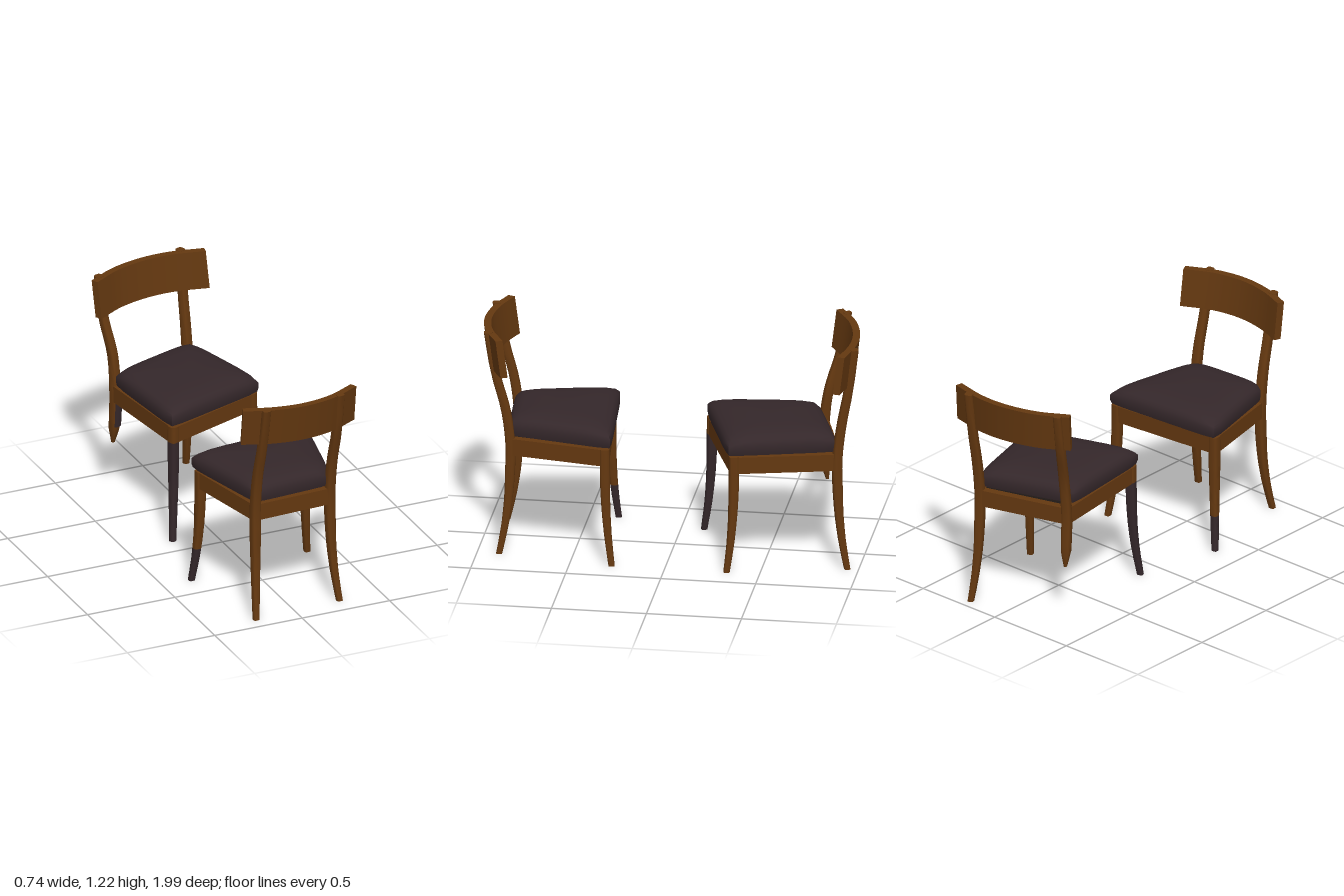
import * as THREE from 'three';
import { toCreasedNormals } from 'three/addons/utils/BufferGeometryUtils.js';

const wood = new THREE.MeshStandardMaterial({ color: 0x643810 });
wood.name = 'wood';
const leather = new THREE.MeshStandardMaterial({ color: 0x34272a });
leather.name = 'dark leather';
const lining = new THREE.MeshStandardMaterial({ color: 0x1f1815 });
lining.name = 'seat lining';

// Closed skin over a stack of rings of [x, y, z] points, with fan caps
function loft(rings, crease = 0.7) {
  const n = rings[0].length, pos = rings.flat(2), idx = [];
  for (let r = 0; r < rings.length - 1; r++) {
    for (let i = 0; i < n; i++) {
      const a = r * n + i, b = r * n + (i + 1) % n;
      idx.push(a, b, b + n, a, b + n, a + n);
    }
  }
  [0, rings.length - 1].forEach((r, k) => {
    const c = pos.length / 3;
    for (let d = 0; d < 3; d++) pos.push(rings[r].reduce((s, p) => s + p[d], 0) / n);
    for (let i = 0; i < n; i++) {
      const a = r * n + i, b = r * n + (i + 1) % n;
      idx.push(c, k ? a : b, k ? b : a);
    }
  });
  // Turn every face outward
  const v = (i) => new THREE.Vector3().fromArray(pos, i * 3), o = v(0);
  let volume = 0;
  for (let i = 0; i < idx.length; i += 3) {
    volume += v(idx[i]).sub(o).dot(v(idx[i + 1]).sub(o).cross(v(idx[i + 2]).sub(o)));
  }
  if (volume < 0) idx.reverse();
  const g = new THREE.BufferGeometry();
  g.setAttribute('position', new THREE.Float32BufferAttribute(pos, 3));
  g.setIndex(idx);
  return toCreasedNormals(g, crease);
}

const mesh = (name, geo, mat) => {
  const m = new THREE.Mesh(geo, mat);
  m.name = name;
  return m;
};

// Straight box between plan points p and q, moved sideways by off
function beam(p, q, y0, y1, width, off = 0) {
  const dx = q[0] - p[0], dz = q[1] - p[1], l = Math.hypot(dx, dz);
  const nx = -dz / l, nz = dx / l, h = width / 2;
  return loft([p, q].map(([x, z]) => [[h, y0], [h, y1], [-h, y1], [-h, y0]]
    .map(([w, y]) => [x + nx * (w + off), y, z + nz * (w + off)])));
}

// Half thickness of a leg or post at height y
const legHalf = (y) => y < 0.6 ? 0.016 + 0.010 * Math.min(1, y / 0.45) : 0.026 - 0.004 * (y - 0.6) / 0.6;

// Rounded square limb along [x, y, z] points, cut to heights y0..y1
function limb(points, angle, y0, y1, { tip = 0, shift = [0, 0], grow = 1 } = {}) {
  const curve = new THREE.CatmullRomCurve3(points.map((p) => new THREE.Vector3(...p)));
  const dense = curve.getPoints(200);
  const rings = [];
  for (let k = 0; k <= 22; k++) {
    const y = y0 + (y1 - y0) * k / 22;
    const c = dense.reduce((a, b) => Math.abs(b.y - y) < Math.abs(a.y - y) ? b : a);
    let h = legHalf(y) * grow;
    if (tip) h *= Math.min(1, 0.35 + (y - y0) / tip);
    const ring = [];
    for (let i = 0; i < 16; i++) {
      const t = (i + 0.5) / 16 * Math.PI * 2;
      const f = (s) => Math.sign(s) * Math.abs(s) ** 0.55 * h;
      const a = f(Math.cos(t)), b = f(Math.sin(t));
      ring.push([c.x + shift[0] + a * Math.cos(angle) - b * Math.sin(angle), y,
        c.z + shift[1] + a * Math.sin(angle) + b * Math.cos(angle)]);
    }
    rings.push(ring);
  }
  return loft(rings, 0.9);
}

// Plump seat pad over four plan corners
function cushion(corners) {
  const layers = [[0.93, 0.645], [0.985, 0.65], [1, 0.67], [1, 0.70], [0.975, 0.722],
    [0.92, 0.737], [0.8, 0.75], [0.6, 0.759], [0.35, 0.764], [0.08, 0.766]];
  return loft(layers.map(([s, y]) => {
    const ring = [];
    for (let k = 0; k < 4; k++) {
      for (let i = 0; i < 8; i++) {
        // Square outline with slightly softened corners
        const t = -1 + i / 4, soft = 1 - 0.03 * t ** 8;
        const [a, b] = [[t, -1], [1, t], [-t, 1], [-1, -t]][k];
        const u = (a * soft * s + 1) / 2, w = (b * soft * s + 1) / 2;
        const at = (d) => (1 - w) * ((1 - u) * corners[0][d] + u * corners[1][d])
          + w * ((1 - u) * corners[3][d] + u * corners[2][d]);
        const droop = y > 0.7 ? 0.012 * (t * s) ** 4 : 0;
        ring.push([at(0), y - droop, at(1)]);
      }
    }
    return ring;
  }), 1.0);
}

// Curved back board, leaning by the plan vector lean
function backBoard(plan, lean) {
  const curve = new THREE.CatmullRomCurve3(plan.map(([x, z]) => new THREE.Vector3(x, 0, z)));
  const rings = [];
  for (let k = 0; k <= 24; k++) {
    const p = curve.getPoint(k / 24), t = curve.getTangent(k / 24), h = 0.019;
    rings.push([[h, 1.015, 0], [h, 1.22, 1], [-h, 1.22, 1], [-h, 1.015, 0]].map(([w, y, f]) => [
      p.x - t.z * w - lean[0] * (1 - f), y, p.z + t.x * w - lean[1] * (1 - f)]));
  }
  return loft(rings, 0.5);
}

// legs and feet: corners in order around the seat, the two front ones first
function chair(name, { legs, feet, pad, posts, board, lean, darkTo, broken }) {
  const g = new THREE.Group();
  g.name = name;
  const angle = Math.atan2(legs[1][1] - legs[0][1], legs[1][0] - legs[0][0]);
  const mid = [0, 1].map((d) => legs.reduce((s, p) => s + p[d], 0) / 4);
  legs.forEach((p, i) => {
    const along = (y, f) => [p[0] + (feet[i][0] - p[0]) * f, y, p[1] + (feet[i][1] - p[1]) * f];
    const path = [along(0, 1), along(0.15, 0.5), along(0.3, 0.18), along(0.45, 0.04), along(0.6, 0)];
    const isBack = i > 1;
    if (isBack) path.push(...posts[i - 2]);
    else path.push(along(0.64, 0));
    const top = isBack ? 1.222 : 0.64, part = isBack ? 'backLegAndPost' : 'frontLeg';
    const dark = darkTo[i];
    const bottom = broken === i ? 0.3 : 0;
    if (dark) g.add(mesh(part + 'DarkPart', limb(path, angle, 0, dark), leather));
    g.add(mesh(part, limb(path, angle, dark || bottom, top, { tip: bottom ? 0.12 : 0 }), wood));
    if (bottom) {
      const shift = [0.006, 0.006];
      g.add(mesh('stainedLegFace', limb(path, angle, 0.4, 0.56, { shift, grow: 0.95 }), leather));
    }
    // Seat rails with dark inner faces
    const q = legs[(i + 1) % 4];
    const side = Math.sign((q[0] - p[0]) * (mid[1] - p[1]) - (q[1] - p[1]) * (mid[0] - p[0]));
    g.add(mesh('seatRail', beam(p, q, 0.547, 0.638, 0.042), wood));
    g.add(mesh('railInnerFace', beam(p, q, 0.55, 0.636, 0.004, side * 0.0225), leather));
  });
  g.add(mesh('seatCushion', cushion(pad), leather));
  const panel = (y) => legs.map(([x, z]) => [x, y, z]);
  g.add(mesh('seatLining', loft([panel(0.629), panel(0.636)]), lining));
  g.add(mesh('backBoard', backBoard(board, lean), wood));
  return g;
}

export function createModel() {
  const model = new THREE.Group();
  model.name = 'chairPair';
  model.add(chair('nearChair', {
    legs: [[-0.30, 0.38], [0.325, 0.32], [0.235, 0.83], [-0.20, 0.85]],
    feet: [[-0.335, 0.345], [0.355, 0.28], [0.265, 0.885], [-0.225, 0.915]],
    pad: [[-0.345, 0.332], [0.36, 0.28], [0.24, 0.84], [-0.21, 0.87]],
    posts: [
      [[0.237, 0.8, 0.855], [0.24, 1, 0.908], [0.24, 1.222, 0.947]],
      [[-0.198, 0.8, 0.873], [-0.192, 1, 0.922], [-0.188, 1.222, 0.965]]],
    board: [[-0.295, 0.903], [-0.15, 0.955], [0.02, 0.977], [0.19, 0.95], [0.352, 0.873]],
    lean: [0, 0.027], darkTo: [0.19, 0, 0, 0],
  }));
  model.add(chair('farChair', {
    legs: [[-0.205, -0.165], [0.33, -0.36], [0.205, -0.885], [-0.275, -0.745]],
    feet: [[-0.23, -0.12], [0.355, -0.325], [0.22, -0.94], [-0.30, -0.83]],
    pad: [[-0.235, -0.125], [0.37, -0.33], [0.22, -0.89], [-0.295, -0.715]],
    posts: [
      [[0.204, 0.8, -0.908], [0.203, 1, -0.945], [0.203, 1.222, -0.975]],
      [[-0.278, 0.8, -0.77], [-0.305, 1, -0.825], [-0.315, 1.222, -0.862]]],
    board: [[-0.36, -0.815], [-0.2, -0.905], [-0.02, -0.953], [0.14, -0.957], [0.32, -0.922]],
    lean: [-0.012, -0.024], darkTo: [0.55, 0, 0, 0], broken: 3,
  }));
  return model;
}
